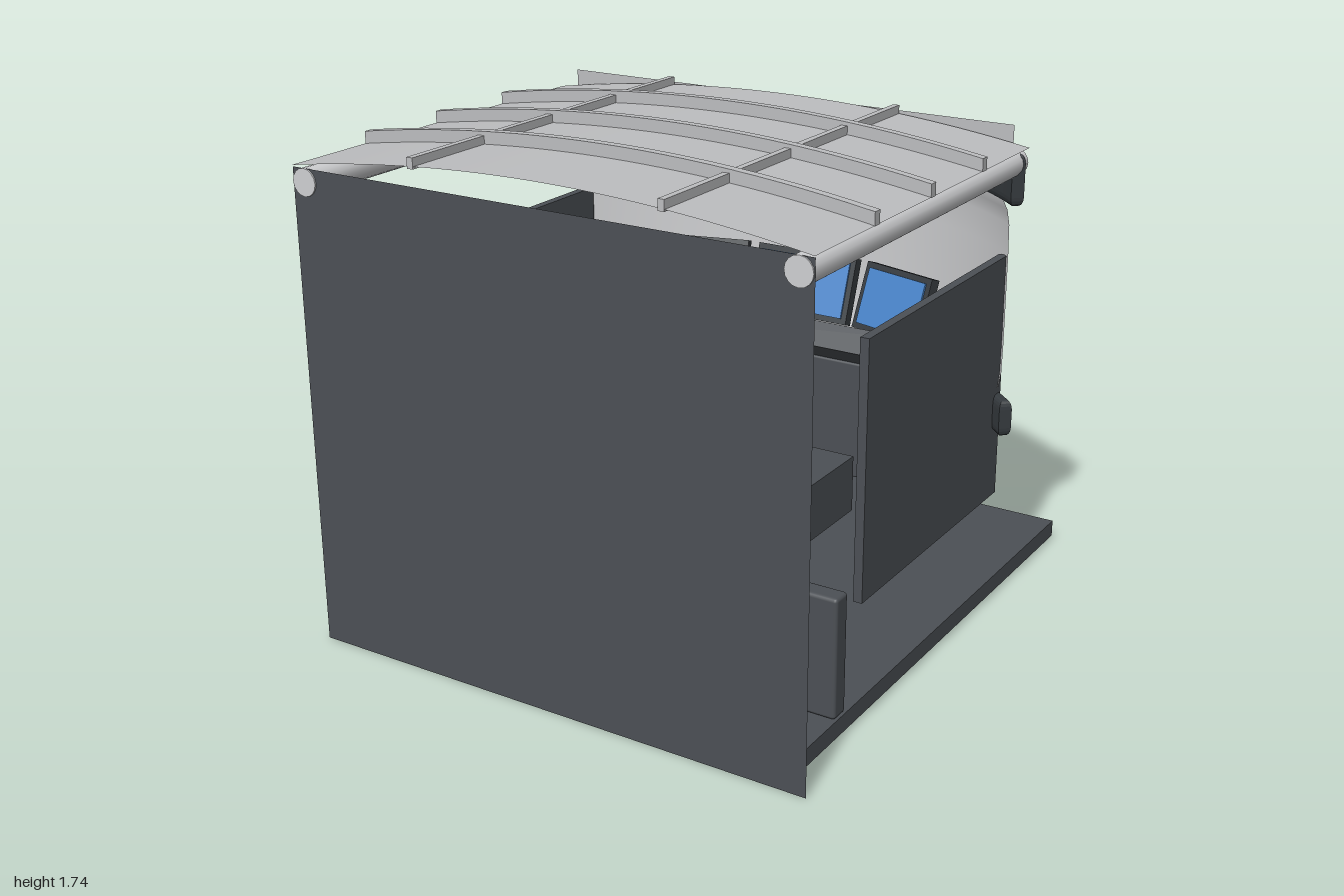
import * as THREE from 'three';
import { RoundedBoxGeometry } from 'three/addons/geometries/RoundedBoxGeometry.js';

export function createModel() {
  const model = new THREE.Group();
  const mat = (name, color, side = THREE.FrontSide) => {
    const m = new THREE.MeshStandardMaterial({ color, side });
    m.name = name;
    return m;
  };
  const dark = mat('dark grey panel', 0x4c5055, THREE.DoubleSide);
  const trim = mat('charcoal trim', 0x363b3f);
  const pale = mat('light grey roof', 0xbdbec0, THREE.DoubleSide);
  const pane = mat('pale window', 0xcfd0d2, THREE.DoubleSide);
  const blue = mat('screen blue', 0x4a86cc);

  const add = (name, geo, material, x = 0, y = 0, z = 0, parent = model) => {
    const m = new THREE.Mesh(geo, material);
    m.name = name;
    m.position.set(x, y, z);
    parent.add(m);
    return m;
  };
  // box given by its min and max on each axis
  const box = (name, material, x0, x1, y0, y1, z0, z1, r = 0) => {
    const s = [x1 - x0, y1 - y0, z1 - z0];
    const geo = r ? new RoundedBoxGeometry(...s, 2, r) : new THREE.BoxGeometry(...s);
    return add(name, geo, material, (x0 + x1) / 2, (y0 + y1) / 2, (z0 + z1) / 2);
  };

  // Floor, front wall and low bulkhead
  box('floor', dark, -0.845, 0.845, 0.015, 0.075, -1, 0.99);
  add('frontWall', new THREE.PlaneGeometry(1.83, 1.62), dark, 0, 0.81, 0.995);
  box('lowBulkhead', dark, -0.84, 0.84, 0.075, 0.48, 0.62, 0.69, 0.012);

  // Side panels
  for (const s of [-1, 1]) {
    const x = s * 0.83;
    box('sidePanel', dark, x - 0.015, x + 0.015, 0.405, 1.25, -0.435, 0.54);
  }

  // Seat
  box('seatPedestal', dark, -0.18, 0.18, 0.075, 0.41, 0.05, 0.3);
  box('seatBase', dark, -0.5, 0.5, 0.405, 0.6, -0.045, 0.32);
  box('seatBack', dark, -0.25, 0.25, 0.6, 1.1, 0.25, 0.32, 0.02);

  // Desk and the box behind it
  box('rearBox', dark, -0.545, 0.545, 0.22, 0.67, -0.785, -0.67, 0.008);
  add('desk', new THREE.BoxGeometry(1.09, 0.09, 0.35), dark, 0, 0.78, -0.564).rotation.x = -0.48;

  // Three tilted screens on the desk
  for (const [x, z, w, turn] of [[0, -0.59, 0.4, 0], [-0.385, -0.55, 0.3, 0.27], [0.385, -0.55, 0.3, -0.27]]) {
    const g = new THREE.Group();
    g.name = 'monitor';
    g.position.set(x, 0.97, z);
    g.rotation.set(-0.33, turn, 0, 'YXZ');
    add('monitorCase', new THREE.BoxGeometry(w, 0.24, 0.04), trim, 0, 0, 0, g);
    add('monitorScreen', new THREE.BoxGeometry(w - 0.04, 0.2, 0.008), blue, 0, 0, 0.023, g);
    model.add(g);
  }

  // Curved rear window between two rounded bands
  const cz = 0.53;
  const profile = [[1.25, 0.7], [1.25, 0.78], [1.264, 0.8], [1.273, 0.85], [1.275, 0.95],
    [1.275, 1.26], [1.273, 1.36], [1.264, 1.41], [1.25, 1.44], [1.25, 1.5]]
    .map(([r, y]) => new THREE.Vector2(r, y));
  const half = 0.735;
  add('rearWindow', new THREE.LatheGeometry(profile, 40, Math.PI - half, half * 2), pane, 0, 0, cz);

  const band = (name, y0, y1) => {
    const b = 0.014, a = Math.PI / 4;
    const s = new THREE.Shape();
    s.absarc(0, 0, 1.284 - b, Math.PI / 2 - a, Math.PI / 2 + a, false);
    s.absarc(0, 0, 1.24 + b, Math.PI / 2 + a, Math.PI / 2 - a, true);
    const geo = new THREE.ExtrudeGeometry(s, {
      depth: y1 - y0 - 0.06, bevelThickness: 0.03, bevelSize: b, bevelSegments: 4, curveSegments: 40,
    });
    geo.rotateX(-Math.PI / 2);
    add(name, geo, trim, 0, y0 + 0.03, cz);
  };
  band('upperWindowBand', 1.44, 1.61);
  band('lowerWindowBand', 0.65, 0.775);

  // Arched roof sheet, cross ribs and lengthwise ribs
  const roofY = (x) => 1.7 - 0.075 * (x / 0.915) ** 2;
  const roof = new THREE.PlaneGeometry(1.83, 1.4, 32, 1).rotateX(-Math.PI / 2);
  const p = roof.attributes.position;
  for (let i = 0; i < p.count; i++) p.setY(i, roofY(p.getX(i)));
  roof.computeVertexNormals();
  add('roofSheet', roof, pale, 0, 0, 0.3);

  const rib = new THREE.Shape();
  const N = 24;
  for (let i = 0; i <= N; i++) {
    const x = -0.915 + 1.83 * i / N;
    if (i) rib.lineTo(x, roofY(x) + 0.04);
    else rib.moveTo(x, roofY(x) + 0.04);
  }
  for (let i = N; i >= 0; i--) {
    const x = -0.915 + 1.83 * i / N;
    rib.lineTo(x, roofY(x) - 0.002);
  }
  const ribGeo = new THREE.ExtrudeGeometry(rib, { depth: 0.03, bevelEnabled: false });
  for (const z of [0.65, 0.3, -0.055]) add('roofCrossRib', ribGeo, pale, 0, 0, z - 0.015);

  for (const s of [-1, 1]) {
    const x = s * 0.44;
    box('roofLongRib', pale, x - 0.011, x + 0.011, 1.675, 1.71, -0.4, 1);
    // rolled edge under each side of the roof
    const roll = new THREE.CylinderGeometry(0.045, 0.045, 1.4, 16).rotateX(Math.PI / 2);
    add('roofEdgeRoll', roll, pane, s * 0.868, 1.576, 0.3);
  }

  // Upright plate closing the rear end of the roof
  add('roofEndPlate', new THREE.PlaneGeometry(1.71, 0.18), pale, 0, 1.6, -0.41);

  return model;
}
